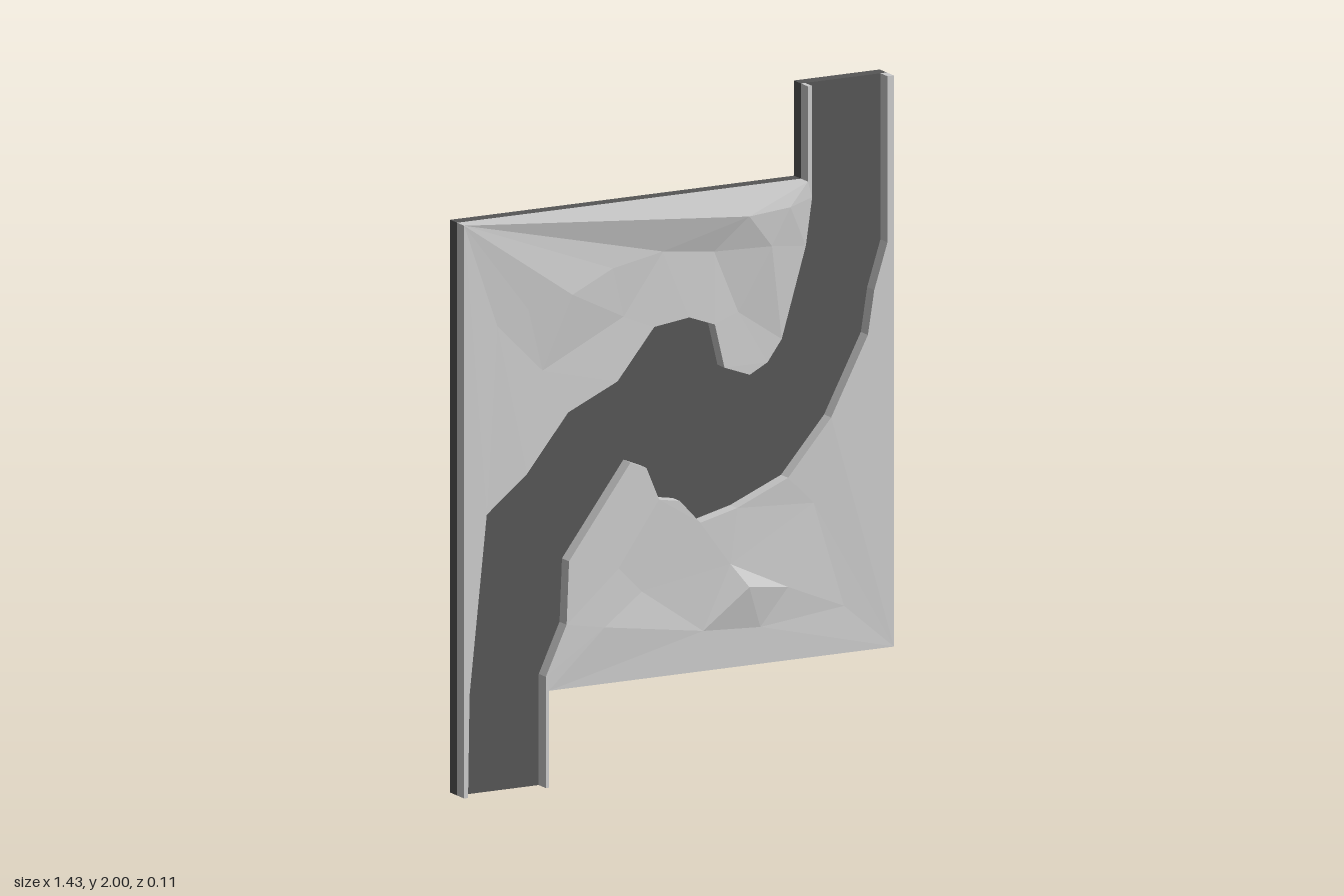
import * as THREE from 'three';

const BACK = -0.055, BED = -0.013, TOP = 0.03;

const cross = (a, b, c) => (b[0] - a[0]) * (c[1] - a[1]) - (b[1] - a[1]) * (c[0] - a[0]);

// True when d lies inside the circle through the counter-clockwise corners a, b, c
function inCircle(a, b, c, d) {
  const [p, q, r] = [a, b, c].map(v => [v[0] - d[0], v[1] - d[1]]);
  const s = v => v[0] * v[0] + v[1] * v[1];
  return s(p) * (q[0] * r[1] - r[0] * q[1]) - s(q) * (p[0] * r[1] - r[0] * p[1])
    + s(r) * (p[0] * q[1] - q[0] * p[1]) > 1e-9;
}

// Triangulate an outline plus interior points, then flip edges to even out the facets
function triangulate(outline, inner) {
  const pts = [...outline, ...inner];
  let tris = THREE.ShapeUtils.triangulateShape(outline.map(p => new THREE.Vector2(p[0], p[1])), [])
    .map(([a, b, c]) => cross(pts[a], pts[b], pts[c]) < 0 ? [a, c, b] : [a, b, c]);
  const flipEdges = () => {
    for (let pass = 0, changed = true; changed && pass < 200; pass++) {
      changed = false;
      const edges = new Map();
      tris.forEach((t, i) => t.forEach((v, k) => edges.set(v + '_' + t[(k + 1) % 3], [i, t[(k + 2) % 3]])));
      for (const [key, [i, c]] of edges) {
        const [a, b] = key.split('_').map(Number);
        const other = edges.get(b + '_' + a);
        if (!other) continue;
        const [j, d] = other;
        const [A, B, C, D] = [a, b, c, d].map(n => pts[n]);
        if (cross(C, A, D) > 1e-6 && cross(D, B, C) > 1e-6 && inCircle(A, B, C, D)) {
          tris[i] = [c, a, d];
          tris[j] = [d, b, c];
          changed = true;
          break;
        }
      }
    }
  };
  flipEdges();
  for (let n = outline.length; n < pts.length; n++) {
    const i = tris.findIndex(t => t.every((v, k) => cross(pts[v], pts[t[(k + 1) % 3]], pts[n]) > 0));
    if (i < 0) continue;
    const [a, b, c] = tris[i];
    tris.splice(i, 1, [a, b, n], [b, c, n], [c, a, n]);
    flipEdges();
  }
  return { pts, tris };
}

// Faceted ground: bumpy top, straight walls down to the river bed
function bankGeometry(outline, hills) {
  const { pts, tris } = triangulate(outline, hills);
  const pos = [];
  tris.forEach(t => t.forEach(n => pos.push(pts[n][0], pts[n][1], pts[n][2] ?? TOP)));
  outline.forEach((p, i) => {
    const q = outline[(i + 1) % outline.length];
    pos.push(...p, BED, ...q, BED, ...q, TOP, ...p, BED, ...q, TOP, ...p, TOP);
  });
  const g = new THREE.BufferGeometry();
  g.setAttribute('position', new THREE.Float32BufferAttribute(pos, 3));
  g.computeVertexNormals();
  return g;
}

export function createModel() {
  const group = new THREE.Group();
  const land = new THREE.MeshStandardMaterial({ color: 0xcccccc, flatShading: true, side: THREE.DoubleSide });
  const dark = new THREE.MeshStandardMaterial({ color: 0x565656 });
  const add = (name, geometry, material) => {
    const mesh = new THREE.Mesh(geometry, material);
    mesh.name = name;
    group.add(mesh);
    return mesh;
  };

  // Backing plate with an inlet and an outlet tab
  const plate = new THREE.Shape([
    [-0.713, 0], [-0.432, 0], [-0.432, 0.29], [0.713, 0.29],
    [0.713, 2], [0.428, 2], [0.428, 1.715], [-0.713, 1.715],
  ].map(p => new THREE.Vector2(...p)));
  add('riverBed', new THREE.ExtrudeGeometry(plate, { depth: BED - BACK, bevelEnabled: false }), dark)
    .position.z = BACK;

  // Bank above the winding channel
  const upper = [
    [-0.713, 0], [-0.7, 0], [-0.695, 0.307], [-0.638, 0.841], [-0.505, 0.947], [-0.368, 1.116],
    [-0.204, 1.19], [-0.082, 1.339], [0.034, 1.354], [0.119, 1.323], [0.151, 1.19], [0.235, 1.159],
    [0.294, 1.19], [0.341, 1.254], [0.421, 1.524], [0.442, 1.667], [0.442, 2],
    [0.428, 2], [0.428, 1.715], [-0.713, 1.715],
  ];
  add('upperBank', bankGeometry(upper, [
    [-0.36, 1.47, 0.042], [-0.6, 1.4, 0.024], [-0.5, 1.44, 0.03], [-0.18, 1.38, 0.023], [-0.22, 1.53, 0.03],
    [-0.05, 1.56, 0.024], [0.12, 1.54, 0.024], [0.22, 1.64, 0.055], [0.36, 1.65, 0.048],
    [0.3, 1.54, 0.046], [-0.45, 1.25, 0.025], [0.2, 1.35, 0.024],
  ]), land);

  // Bank below the winding channel
  const lower = [
    [-0.442, 0], [-0.442, 0.333], [-0.373, 0.481], [-0.365, 0.67], [-0.161, 0.942], [-0.108, 0.92],
    [-0.066, 0.82], [0.003, 0.808], [0.071, 0.735], [0.193, 0.765], [0.362, 0.836], [0.505, 1],
    [0.627, 1.233], [0.648, 1.365], [0.692, 1.503], [0.692, 2],
    [0.713, 2], [0.713, 0.29], [-0.432, 0.29], [-0.432, 0],
  ].reverse();
  add('lowerBank', bankGeometry(lower, [
    [0.22, 0.53, 0.055], [0.08, 0.41, 0.03], [0.17, 0.6, 0.032], [0.36, 0.51, 0.034], [0.27, 0.4, 0.03],
    [-0.12, 0.55, 0.023], [-0.25, 0.46, 0.036], [-0.2, 0.63, 0.03], [0.45, 0.75, 0.024], [0.55, 0.43, 0.026],
  ]), land);

  return group;
}
